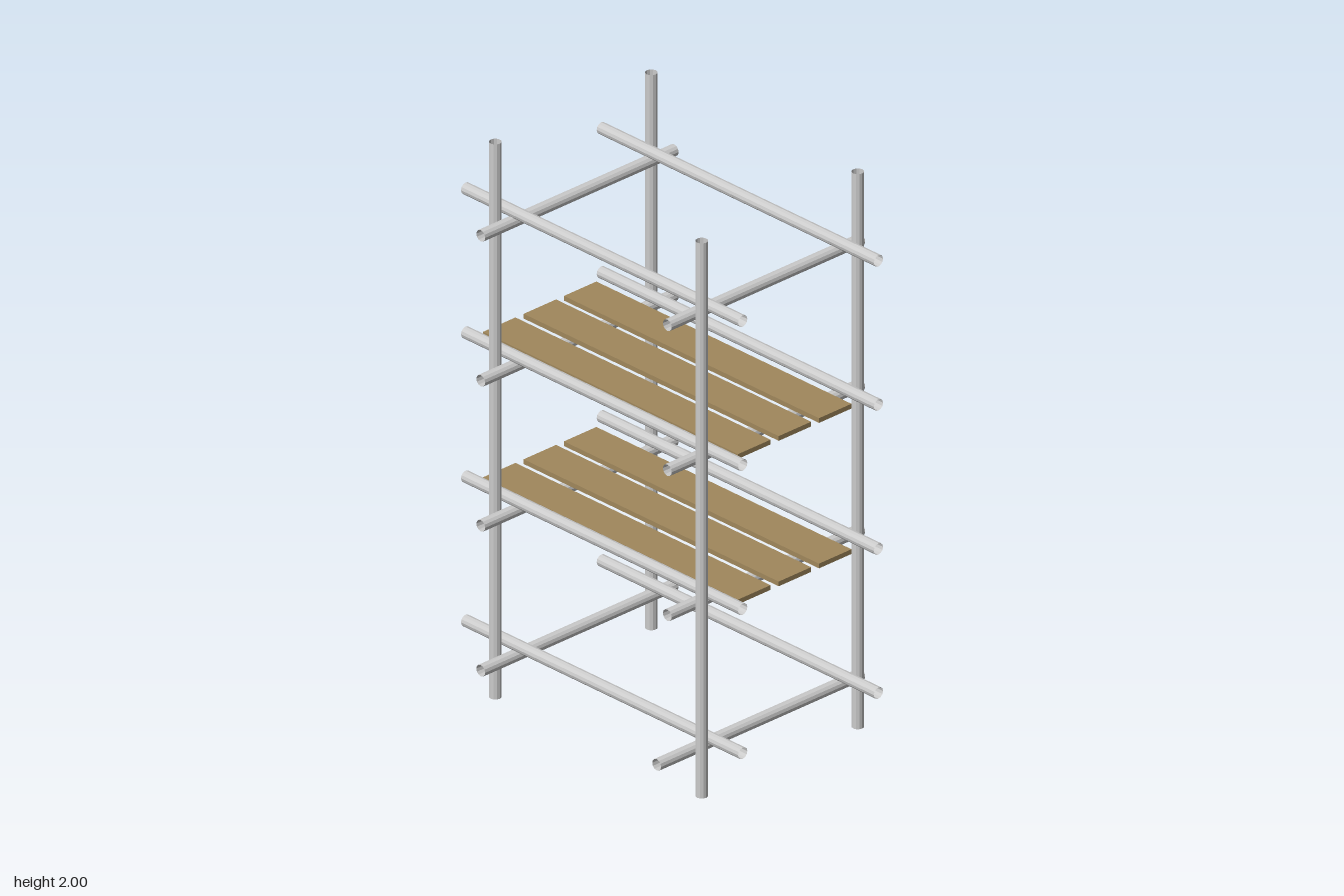
import * as THREE from 'three';

const R = 0.0205;

export function createModel() {
  const model = new THREE.Group();
  model.name = 'scaffold';

  const steel = new THREE.MeshStandardMaterial({ color: 0xcccccc, flatShading: true, side: THREE.DoubleSide });
  const wood = new THREE.MeshStandardMaterial({ color: 0xa0885c });

  // Open-ended pipe running along one axis, from a to b
  function pipe(name, axis, a, b, x, y, z) {
    const geo = new THREE.CylinderGeometry(R, R, b - a, 12, 1, true);
    if (axis === 'x') geo.rotateZ(Math.PI / 2);
    if (axis === 'z') geo.rotateX(Math.PI / 2);
    const mesh = new THREE.Mesh(geo, steel);
    mesh.name = name;
    mesh.position.set(x, y, z);
    mesh.position[axis] = (a + b) / 2;
    model.add(mesh);
  }

  // Four uprights
  for (const x of [-0.306, 0.386])
    for (const z of [-0.456, 0.496]) pipe('upright', 'y', 0, 2, x, 0, z);

  // Four levels of rails; the lowest front cross rail is a little longer
  for (let i = 0; i < 4; i++) {
    const y = 0.145 + i * 0.5223;
    pipe('backCrossRail', 'x', -0.408, 0.45, 0, y, -0.417);
    pipe('frontCrossRail', 'x', i === 0 ? -0.455 : -0.408, 0.45, 0, y, 0.443);
    for (const x of [-0.261, 0.341]) pipe('sideRail', 'z', -0.64, 0.638, x, 0.19 + i * 0.519, 0);
  }

  // Two decks of three planks resting on the cross rails
  for (const y of [0.697, 1.221]) {
    const deck = new THREE.Group();
    deck.name = 'deck';
    for (const x of [-0.149, 0.031, 0.21]) {
      const plank = new THREE.Mesh(new THREE.BoxGeometry(0.144, 0.017, 1.176), wood);
      plank.name = 'plank';
      plank.position.set(x, y, -0.013);
      deck.add(plank);
    }
    model.add(deck);
  }
  return model;
}
